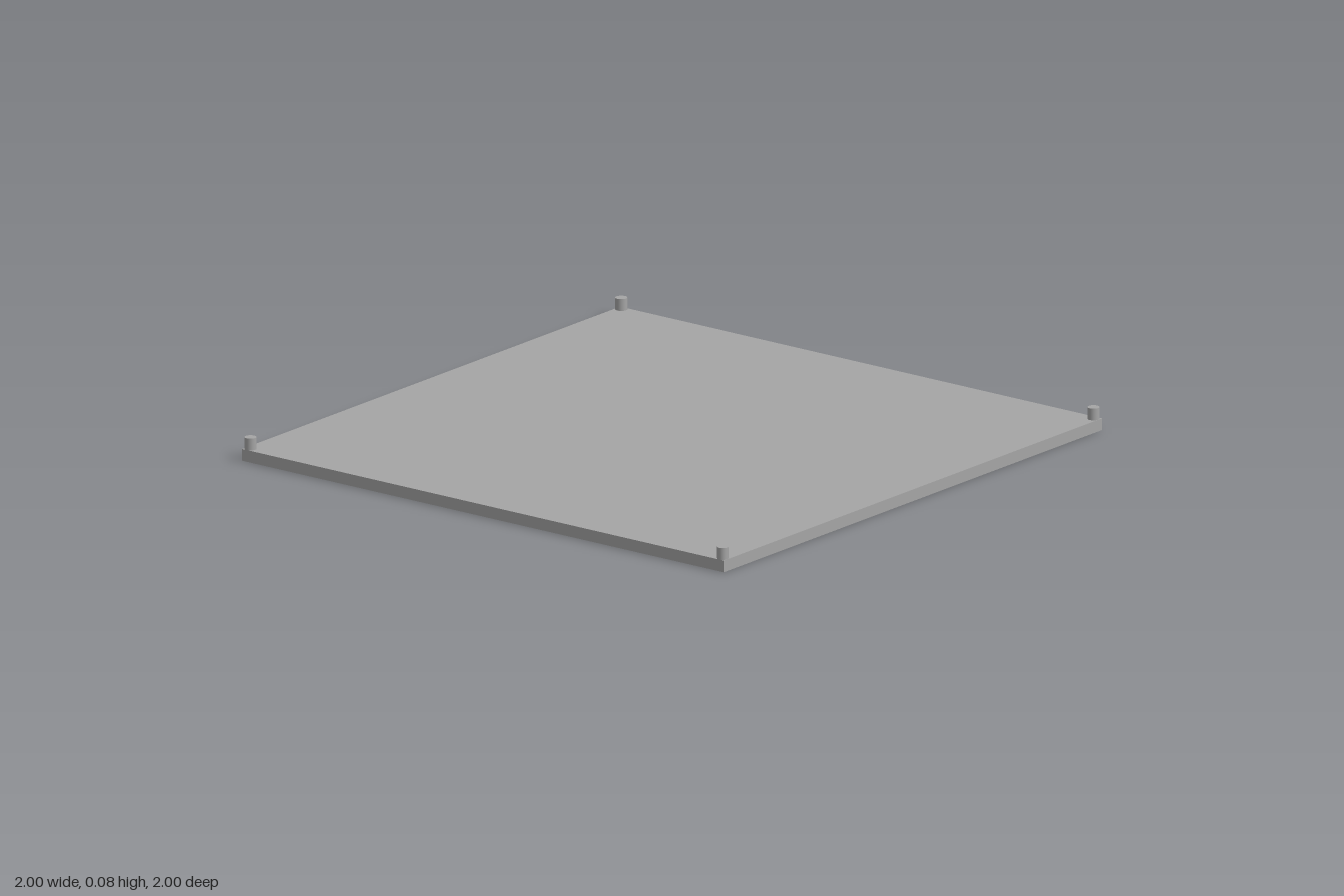
import * as THREE from 'three';

export function createModel() {
  const group = new THREE.Group();
  const material = new THREE.MeshStandardMaterial({ color: 0xa5a5a5 });
  const thickness = 0.04, pegRadius = 0.02, pegHeight = 0.04;

  // Flat square slab
  const plate = new THREE.Mesh(new THREE.BoxGeometry(2, thickness, 2), material);
  plate.name = 'plate';
  plate.position.y = thickness / 2;
  group.add(plate);

  // Round peg standing on each corner, flush with the edges
  const pegGeometry = new THREE.CylinderGeometry(pegRadius, pegRadius, pegHeight, 32);
  const offset = 1 - pegRadius;
  for (const [x, xName] of [[1, 'Left'], [-1, 'Right']]) {
    for (const [z, zName] of [[1, 'front'], [-1, 'back']]) {
      const peg = new THREE.Mesh(pegGeometry, material);
      peg.name = `${zName}${xName}Peg`;
      peg.position.set(x * offset, thickness + pegHeight / 2, z * offset);
      group.add(peg);
    }
  }
  return group;
}
